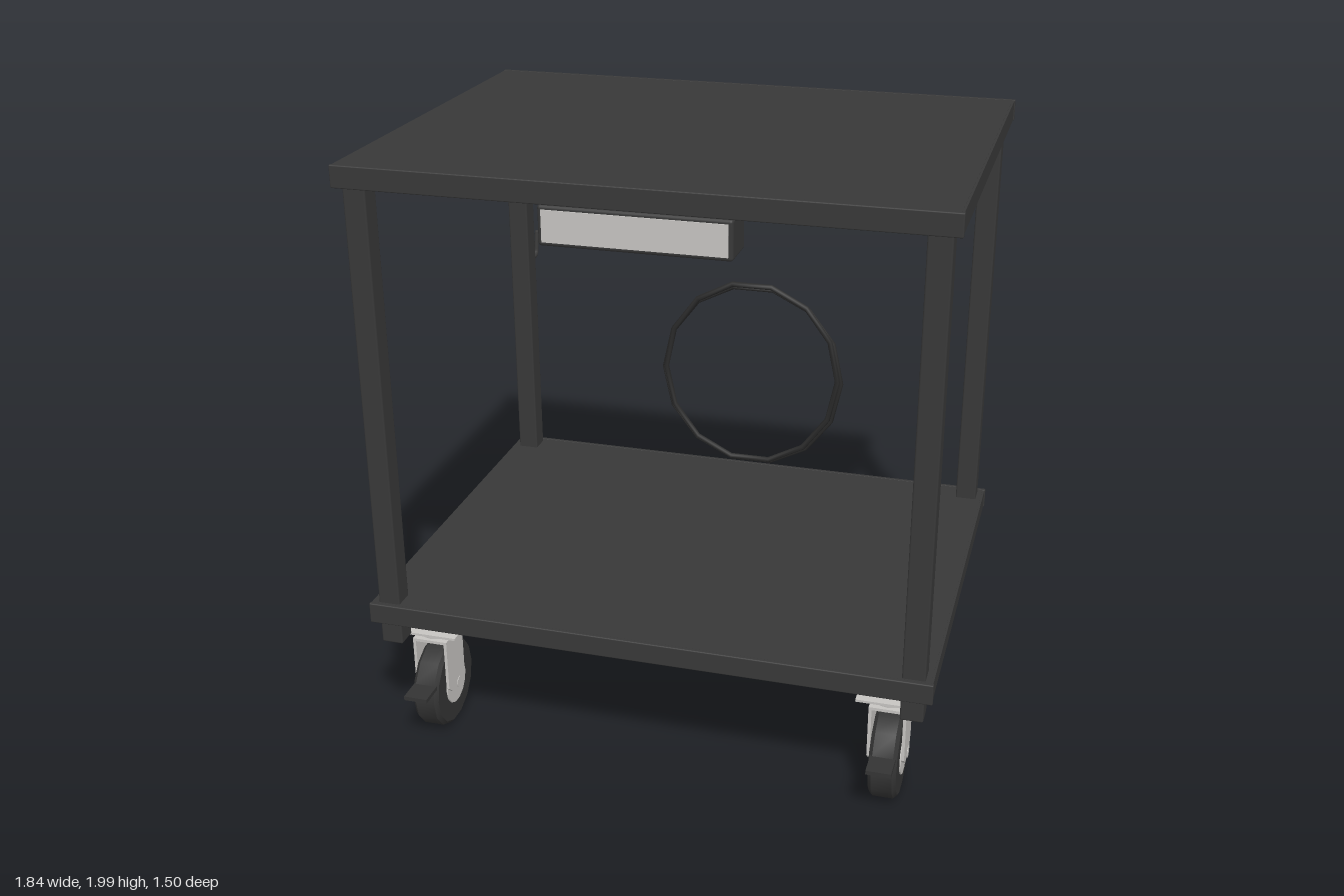
import * as THREE from 'three';
import { toCreasedNormals } from 'three/addons/utils/BufferGeometryUtils.js';
import { RoundedBoxGeometry } from 'three/addons/geometries/RoundedBoxGeometry.js';

export function createModel() {
  const cart = new THREE.Group();
  cart.name = 'utilityCart';

  const material = (name, color) => {
    const m = new THREE.MeshStandardMaterial({ color });
    m.name = name;
    return m;
  };
  const frame = material('darkFrame', 0x383838);
  const rubber = material('blackRubber', 0x343434);
  const cable = material('cableBlack', 0x2a2a2a);
  const steel = material('lightSteel', 0xc6c4c1);

  const add = (parent, name, geometry, mat, x = 0, y = 0, z = 0) => {
    const mesh = new THREE.Mesh(geometry, mat);
    mesh.name = name;
    mesh.position.set(x, y, z);
    parent.add(mesh);
    return mesh;
  };
  // Box given by its extents on each axis
  const box = (parent, name, mat, [x0, x1], [y0, y1], [z0, z1], r = 0) => {
    const size = [x1 - x0, y1 - y0, z1 - z0];
    const g = r ? new RoundedBoxGeometry(...size, 2, r) : new THREE.BoxGeometry(...size);
    return add(parent, name, g, mat, (x0 + x1) / 2, (y0 + y1) / 2, (z0 + z1) / 2);
  };

  // Two trays: a thin sheet with a lip hanging down on every side
  const makeTray = (name, top) => {
    const tray = new THREE.Group();
    tray.name = name;
    const y = [top - 0.07, top];
    box(tray, 'panel', frame, [-0.91, 0.91], [top - 0.014, top - 0.001], [-0.65, 0.715]);
    box(tray, 'frontLip', frame, [-0.92, 0.92], y, [0.71, 0.726], 0.004);
    box(tray, 'backLip', frame, [-0.92, 0.92], y, [-0.658, -0.642], 0.004);
    for (const s of [-1, 1]) {
      box(tray, 'sideLip', frame, [s * 0.91 - 0.007, s * 0.91 + 0.007],
        [top - 0.067, top - 0.002], [-0.645, 0.712]);
    }
    cart.add(tray);
  };
  makeTray('topTray', 2);
  makeTray('lowerTray', 0.54);

  // Square corner posts, passing below the lower tray
  for (const s of [-1, 1]) {
    for (const [name, z] of [['frontLeg', 0.67], ['backLeg', -0.595]]) {
      box(cart, name, frame, [s * 0.857 - 0.036, s * 0.857 + 0.036], [0.39, 1.985],
        [z - 0.036, z + 0.036], 0.006);
    }
  }

  // Drawer under the top tray with a pale front plate
  const drawer = new THREE.Group();
  drawer.name = 'drawer';
  box(drawer, 'drawerBody', frame, [-0.288, 0.288], [1.803, 1.925], [0.575, 0.709], 0.01);
  box(drawer, 'drawerFront', steel, [-0.275, 0.275], [1.816, 1.912], [0.706, 0.713]);
  cart.add(drawer);

  // Casters
  const R = 0.153, W = 0.045, B = 0.012;
  const wheelGeometry = toCreasedNormals(new THREE.LatheGeometry([
    [0, -W], [R - B, -W], [R, -W + B], [R, W - B], [R - B, W], [0, W],
  ].map(([r, y]) => new THREE.Vector2(r, y)), 14), 0.6);
  wheelGeometry.rotateZ(Math.PI / 2);
  const hubGeometry = new THREE.CylinderGeometry(0.075, 0.075, 0.1, 14).rotateZ(Math.PI / 2);
  const axleGeometry = new THREE.CylinderGeometry(0.02, 0.02, 0.124, 10).rotateZ(Math.PI / 2);

  // Fork cheek outline in (z, y), measured from the wheel centre
  const cheek = new THREE.Shape([
    [-0.048, 0.2], [-0.048, 0.04], [-0.03, -0.01], [0.05, -0.01], [0.083, 0.02], [0.083, 0.2],
  ].map(([z, y]) => new THREE.Vector2(-z, y)));
  const cheekGeometry = new THREE.ExtrudeGeometry(cheek, { depth: 0.01, bevelEnabled: false });
  cheekGeometry.translate(0, 0, -0.005).rotateY(Math.PI / 2);

  // Brake pedal: side outline in (z, y), swept across the wheel width
  const pedal = new THREE.Shape([
    [0.05, 0.115], [0.12, 0.06], [0.22, 0.06], [0.22, 0.046], [0.1, 0.046], [0.05, 0.08],
  ].map(([z, y]) => new THREE.Vector2(-z, y)));
  const pedalGeometry = new THREE.ExtrudeGeometry(pedal, { depth: 0.08, bevelEnabled: false });
  pedalGeometry.translate(0, 0, -0.04).rotateY(Math.PI / 2);

  const makeCaster = (name, x, z, plateZ, braked) => {
    const caster = new THREE.Group();
    caster.name = name;
    caster.position.set(x, R + 0.003, z);
    add(caster, 'wheel', wheelGeometry, rubber);
    add(caster, 'hub', hubGeometry, steel);
    add(caster, 'axle', axleGeometry, steel);
    for (const s of [-1, 1]) add(caster, 'forkCheek', cheekGeometry, steel, s * 0.055);
    box(caster, 'forkBridge', steel, [-0.06, 0.06], [0.19, 0.2], [-0.048, 0.083]);
    add(caster, 'swivel', new THREE.CylinderGeometry(0.055, 0.055, 0.03, 14), steel, 0, 0.213, 0.017);
    box(caster, 'mountPlate', steel, [-0.1, 0.1], [0.224, 0.232], [plateZ - 0.1, plateZ + 0.1]);
    if (braked) add(caster, 'brakePedal', pedalGeometry, rubber);
    cart.add(caster);
  };
  for (const s of [-1, 1]) {
    makeCaster('frontCaster', s * 0.771, 0.528, 0, true);
    makeCaster('backCaster', s * 0.771, -0.567, 0.052, false);
  }

  // Coiled cable: two many-sided loops side by side
  for (const [y, z, rx, ry] of [[0.878, -0.721, 0.335, 0.362], [0.865, -0.738, 0.345, 0.36]]) {
    const loop = add(cart, 'cableLoop', new THREE.TorusGeometry(1, 0.03, 6, 14), cable, 0, y, z);
    loop.scale.set(rx, ry, 0.33);
  }

  // Cable hooks on the back legs
  const hookPath = new THREE.CurvePath();
  const p = (y, z) => new THREE.Vector3(0, y, z);
  hookPath.add(new THREE.LineCurve3(p(1.275, -0.62), p(1.275, -0.705)));
  hookPath.add(new THREE.QuadraticBezierCurve3(p(1.275, -0.705), p(1.275, -0.732), p(1.298, -0.735)));
  hookPath.add(new THREE.LineCurve3(p(1.298, -0.735), p(1.365, -0.746)));
  const hookGeometry = new THREE.TubeGeometry(hookPath, 24, 0.008, 8);
  for (const s of [-1, 1]) {
    add(cart, 'hook', hookGeometry, frame, s * 0.857);
    const tip = add(cart, 'hookTip', new THREE.SphereGeometry(0.008, 8, 6), frame, s * 0.857, 1.365, -0.746);
    tip.scale.y = 0.5;
  }

  return cart;
}
